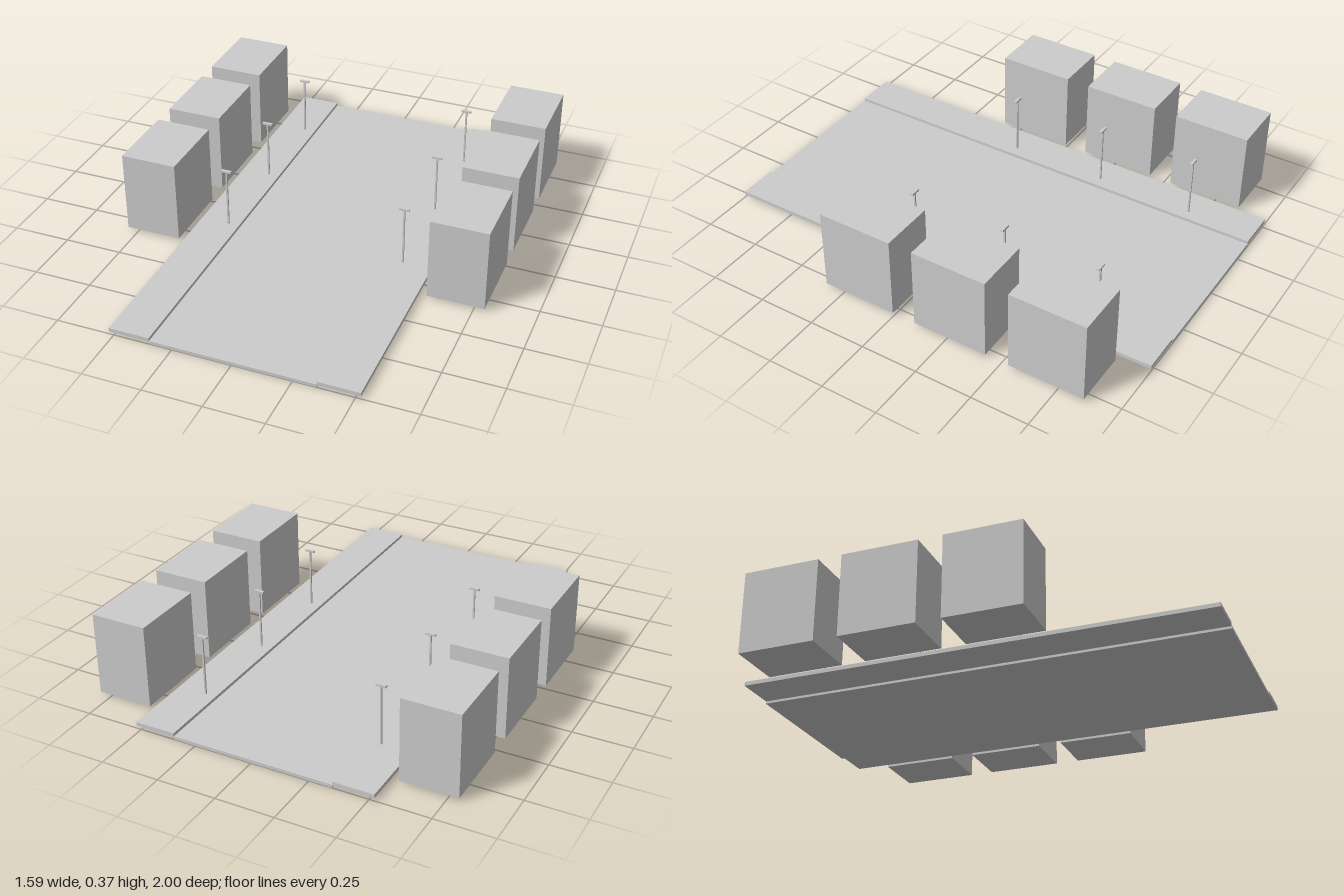
import * as THREE from 'three';

export function createModel() {
  const group = new THREE.Group();
  const grey = new THREE.MeshStandardMaterial({ color: 0xcccccc });
  grey.name = 'plain grey';

  // Box given by its centre in x and z, its base height and its size
  function box(name, x, base, z, w, h, d) {
    const mesh = new THREE.Mesh(new THREE.BoxGeometry(w, h, d), grey);
    mesh.name = name;
    mesh.position.set(x, base + h / 2, z);
    group.add(mesh);
  }

  // Road surface
  box('road', 0, 0, 0, 0.694, 0.014, 2);

  for (const side of [1, -1]) {
    const label = side > 0 ? 'left' : 'right';

    // Raised pavement along the road
    box(label + 'Sidewalk', side * 0.434, 0.0105, 0, 0.174, 0.017, 2);

    // Three buildings, each with a street lamp in front
    [-0.699, -0.266, 0.168].forEach((z, i) => {
      box(label + 'Building' + (i + 1), side * 0.674, 0.0135, z, 0.242, 0.357, 0.33);
      box(label + 'LampPost' + (i + 1), side * 0.396, 0.0275, z, 0.007, 0.258, 0.007);
      box(label + 'LampHead' + (i + 1), side * 0.396, 0.2845, z, 0.043, 0.0085, 0.013);
    });
  }
  return group;
}
